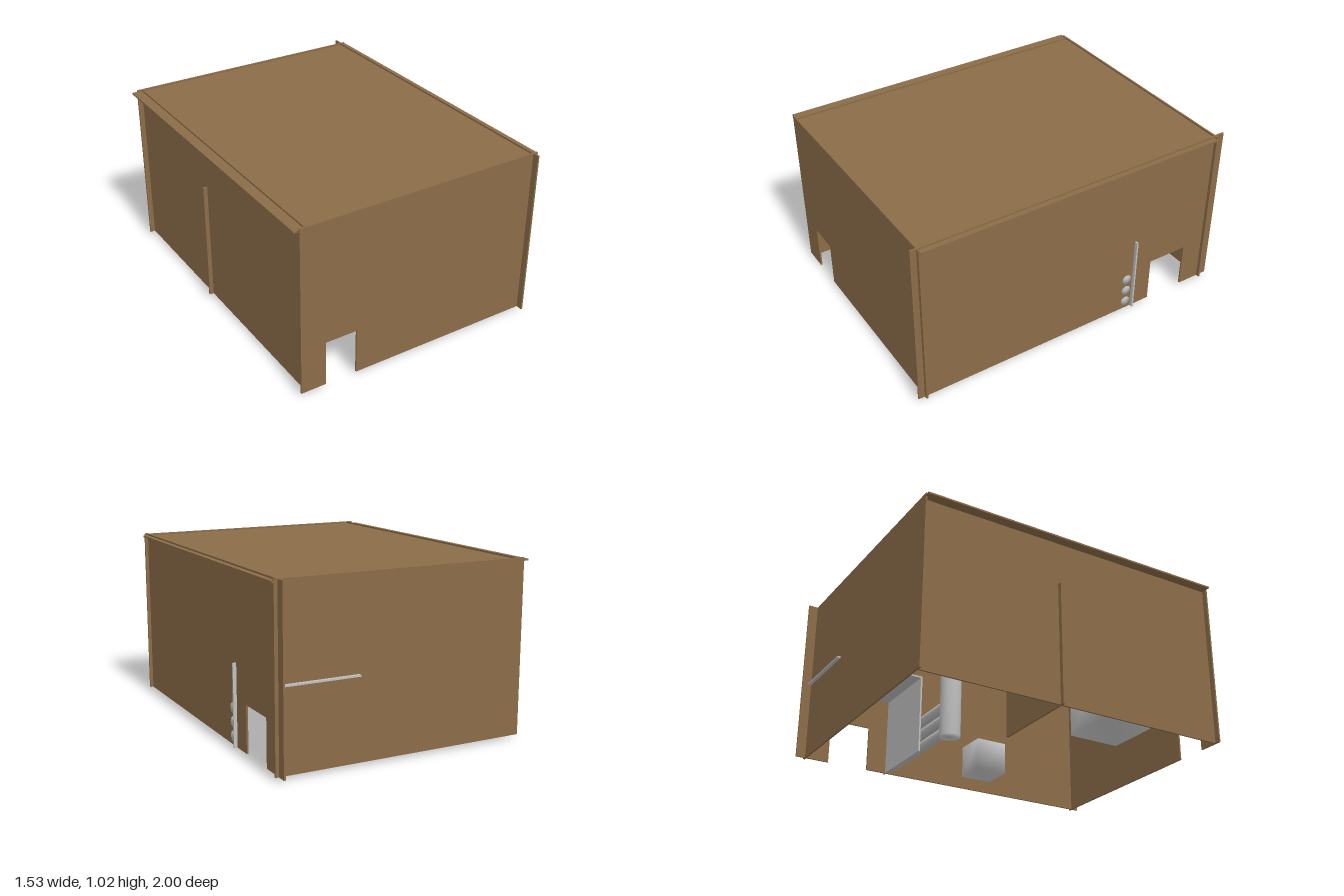
import * as THREE from 'three';
import { mergeVertices } from 'three/addons/utils/BufferGeometryUtils.js';

const T = 0.01; // sheet thickness

export function createModel() {
  const group = new THREE.Group();
  const board = new THREE.MeshStandardMaterial({ name: 'brown board', color: 0x8b6c48 });
  const metal = new THREE.MeshStandardMaterial({ name: 'silver metal', color: 0xc0c0c0 });

  const add = (name, geometry, material) => {
    const mesh = new THREE.Mesh(geometry, material);
    mesh.name = name;
    group.add(mesh);
    return mesh;
  };

  // Box given by its limits on each axis
  const box = (name, material, [x0, x1], [y0, y1], [z0, z1], soft = false) => {
    let g = new THREE.BoxGeometry(x1 - x0, y1 - y0, z1 - z0);
    if (soft) g = soften(g);
    g.translate((x0 + x1) / 2, (y0 + y1) / 2, (z0 + z1) / 2);
    return add(name, g, material);
  };

  // Share corner normals so that the faces shade as one smooth surface
  const soften = (g) => {
    g.deleteAttribute('normal');
    g.deleteAttribute('uv');
    const merged = mergeVertices(g, 1e-4);
    merged.computeVertexNormals();
    return merged;
  };

  // Upright sheet from u0 to u1, with a doorway cut up from its lower edge
  const notchedSheet = (u0, u1, n0, n1) => {
    const bottom = 0.02, top = 1.02, door = 0.29;
    const shape = new THREE.Shape([
      [u0, bottom], [n0, bottom], [n0, door], [n1, door],
      [n1, bottom], [u1, bottom], [u1, top], [u0, top],
    ].map(([u, v]) => new THREE.Vector2(u, v)));
    return new THREE.ExtrudeGeometry(shape, { depth: T, bevelEnabled: false });
  };

  // Outer shell: interlocking sheets, open underneath
  add('frontWall', notchedSheet(-0.74, 0.755, -0.59, -0.4).translate(0, 0, 0.953), board);
  add('leftSideWall', notchedSheet(-1, 1, -0.8, -0.55).rotateY(-Math.PI / 2).translate(0.735, 0, 0), board);
  box('backWall', board, [-0.74, 0.755], [0.02, 1.02], [-0.945, -0.935]);
  box('rightSideWall', board, [-0.71, -0.7], [0.02, 1.02], [-0.94, 0.955]);
  box('roof', board, [-0.77, 0.765], [1.0, 1.01], [-0.945, 0.955]);

  // Inner partition with a small window, poking through the side wall
  const partition = new THREE.Shape([
    [-0.735, 0.02], [-0.17, 0.02], [-0.17, 0.74], [-0.735, 0.74],
  ].map(([x, y]) => new THREE.Vector2(x, y)));
  partition.holes.push(new THREE.Path([
    [-0.605, 0.47], [-0.605, 0.57], [-0.5, 0.57], [-0.5, 0.47],
  ].map(([x, y]) => new THREE.Vector2(x, y))));
  add('partition', new THREE.ExtrudeGeometry(partition, { depth: T, bevelEnabled: false })
    .translate(0, 0, -0.105), board);

  // Metal bay behind the side doorway: upright panel and shelf above
  box('bayPanel', metal, [0.28, 0.755], [0.02, 0.49], [-0.428, -0.418]);
  box('bayShelf', metal, [0.28, 0.728], [0.485, 0.495], [-0.965, -0.418]);

  // Three pipes leading from the side wall to the upright tube
  for (const y of [0.07, 0.15, 0.23]) {
    const g = soften(new THREE.CylinderGeometry(0.03, 0.03, 0.72, 20));
    g.rotateZ(Math.PI / 2).translate(0.38, y, -0.38);
    add('pipe', g, metal);
  }
  add('uprightTube', soften(new THREE.CylinderGeometry(0.06, 0.06, 0.55, 28))
    .translate(-0.01, 0.295, -0.38), metal);

  // Loose blocks on the floor
  box('largeBlock', metal, [-0.7, -0.39], [0.015, 0.325], [0.18, 0.49], true);
  box('smallBlock', metal, [0.3, 0.49], [0, 0.19], [-0.02, 0.17], true);

  return group;
}
